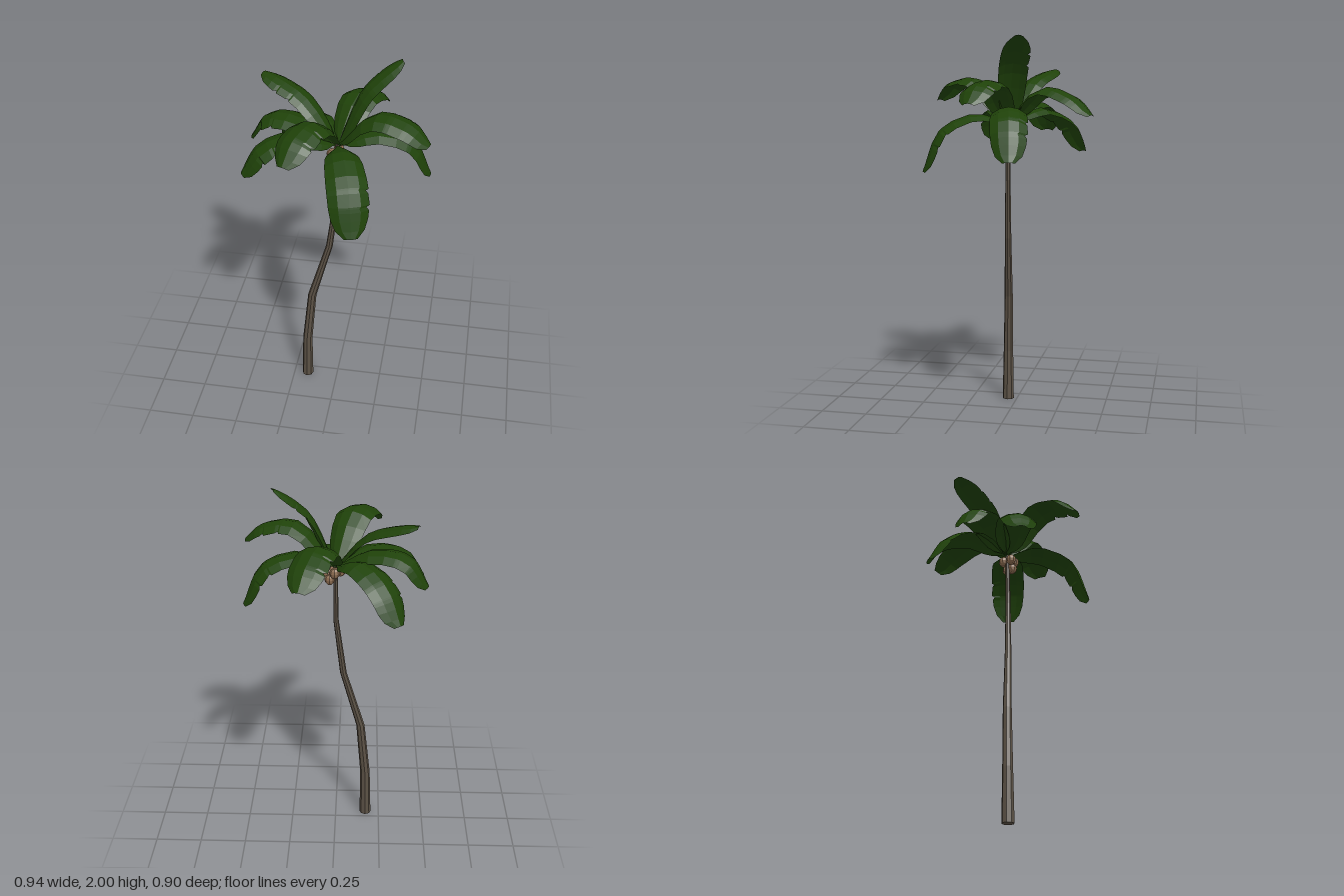
import * as THREE from 'three';

const flat = (name, color, extra = {}) =>
  Object.assign(new THREE.MeshStandardMaterial({ color, flatShading: true, ...extra }), { name });

// Trunk spine: x, y, z, radius
const SPINE = [
  [-0.172, 0, 0.05, 0.032],
  [-0.168, 0.28, 0.048, 0.027],
  [-0.138, 0.6, 0.04, 0.023],
  [-0.042, 0.94, 0.024, 0.018],
  [-0.002, 1.26, 0.016, 0.014],
  [0, 1.57, 0.012, 0.011],
];

// Fronds: tip x, tip z, heights at 40 %, 80 % and 100 % of the reach, half width
const FRONDS = [
  ['backRight', 0.163, -0.447, 1.745, 1.7, 1.61, 0.1],
  ['backLeft', -0.325, -0.35, 1.64, 1.56, 1.4, 0.097],
  ['left', -0.468, -0.12, 1.67, 1.65, 1.51, 0.1],
  ['upperLeft', -0.405, -0.172, 1.765, 1.832, 1.845, 0.075],
  ['frontLeft', -0.457, 0.187, 1.65, 1.6, 1.46, 0.1],
  ['front', -0.19, 0.44, 1.785, 1.775, 1.68, 0.1],
  ['frontRight', 0.137, 0.445, 1.61, 1.525, 1.31, 0.102],
  ['right', 0.465, 0.118, 1.775, 1.755, 1.67, 0.099],
  ['rightBack', 0.468, -0.083, 1.65, 1.585, 1.39, 0.095],
  ['upperRight', 0.297, -0.098, 1.85, 1.965, 2.0, 0.076],
];

// Blade outline: position along the rib, whole edge, torn edge (shares of the half width)
const OUTLINE = [
  [0, 0.08, 0.08], [0.05, 0.14, 0.14], [0.1, 0.48, 0.48], [0.16, 0.7, 0.7],
  [0.23, 0.83, 0.82], [0.35, 0.93, 0.92], [0.5, 0.99, 0.98], [0.6, 1, 1],
  [0.615, 1, 0.85], [0.645, 1, 0.96], [0.75, 0.98, 1], [0.765, 0.97, 0.83],
  [0.795, 0.95, 0.95], [0.86, 0.89, 0.89], [0.94, 0.7, 0.7], [1, 0.33, 0.33],
];
const ACROSS = [-1, -0.55, 0, 0.55, 1];

function trunkGeometry() {
  const sides = 8, rows = SPINE.length - 1;
  const geo = new THREE.CylinderGeometry(1, 1, 1, sides, rows);
  const p = geo.attributes.position;
  for (let i = 0; i < p.count; i++) {
    const [x, y, z, r] = SPINE[Math.round((p.getY(i) + 0.5) * rows)];
    p.setXYZ(i, x + p.getX(i) * r, y, z + p.getZ(i) * r);
  }
  geo.computeVertexNormals();
  return geo;
}

// Arched blade swept along a drooping rib
function frondGeometry(tx, tz, y1, y2, y3, half) {
  const at = (f, y) => new THREE.Vector3(tx * f, y, 0.008 + (tz - 0.008) * f);
  const rib = new THREE.CatmullRomCurve3([at(0, 1.56), at(0.4, y1), at(0.8, y2), at(1, y3)]);
  const side = new THREE.Vector3(-tz, 0, tx).normalize();
  const verts = [], index = [], n = ACROSS.length;
  OUTLINE.forEach(([t, whole, tornEdge], row) => {
    const centre = rib.getPointAt(t);
    const up = new THREE.Vector3().crossVectors(side, rib.getTangentAt(t)).normalize();
    ACROSS.forEach((s, k) => {
      const w = half * (s < 0 ? tornEdge : whole);
      const v = centre.clone().addScaledVector(side, s * w).addScaledVector(up, -0.4 * w * s * s);
      verts.push(v.x, v.y, v.z);
      if (row && k) {
        const d = row * n + k, c = d - 1, b = d - n, a = b - 1;
        index.push(a, b, c, b, d, c);
      }
    });
  });
  const geo = new THREE.BufferGeometry();
  geo.setAttribute('position', new THREE.Float32BufferAttribute(verts, 3));
  geo.setIndex(index);
  geo.computeVertexNormals();
  return geo;
}

export function createModel() {
  const bark = flat('bark', 0x5b5145);
  const leaf = flat('leaf', 0x1f4209, { side: THREE.DoubleSide });
  const husk = flat('husk', 0x8c6c50);
  const model = new THREE.Group();
  model.name = 'palmTree';
  const add = (name, geo, mat, parent = model) => {
    const mesh = new THREE.Mesh(geo, mat);
    mesh.name = name;
    parent.add(mesh);
    return mesh;
  };

  add('trunk', trunkGeometry(), bark);

  const crown = new THREE.Group();
  crown.name = 'crown';
  model.add(crown);
  for (const [name, ...shape] of FRONDS) add(name + 'Frond', frondGeometry(...shape), leaf, crown);

  // Coconut cluster around the trunk, under the crown
  const nuts = new THREE.Group();
  nuts.name = 'coconuts';
  model.add(nuts);
  const nut = new THREE.SphereGeometry(0.027, 8, 6);
  [[-0.025, 1.525, 0.038], [0.012, 1.526, 0.047], [0.04, 1.515, 0.028],
    [0.014, 1.488, 0.036], [0.03, 1.49, 0.006], [0.004, 1.53, -0.01]]
    .forEach(([x, y, z], i) => {
      const m = add('coconut' + (i + 1), nut, husk, nuts);
      m.position.set(x, y, z);
      m.scale.y = 1.1;
    });
  return model;
}
